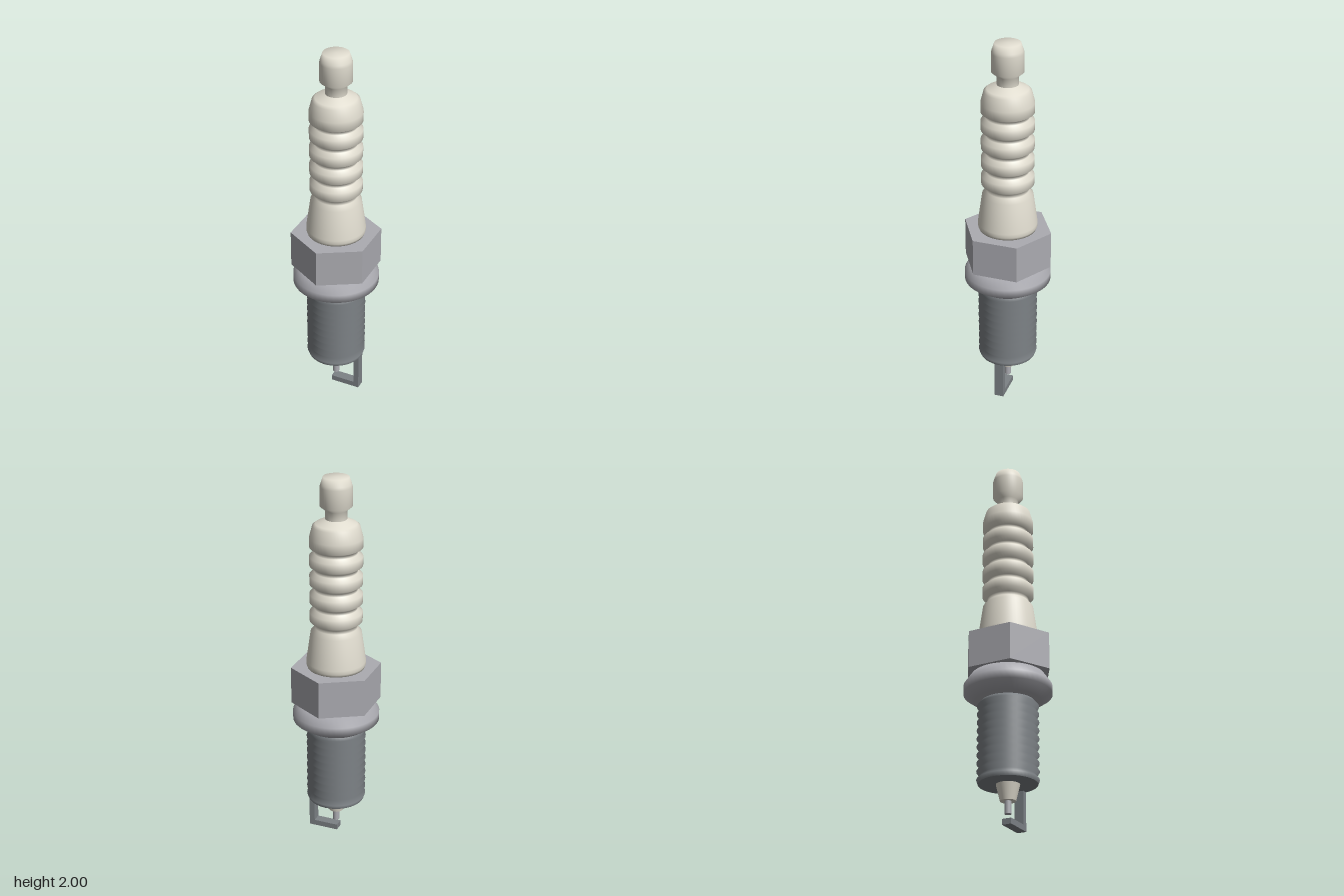
import * as THREE from 'three';

const mat = (name, color) => Object.assign(new THREE.MeshStandardMaterial({ color }), { name });

export function createModel() {
  const group = new THREE.Group();
  const ceramic = mat('cream ceramic', 0xe0dccf);
  const steel = mat('light steel', 0xababb1);
  const darkSteel = mat('dark steel', 0x7d8286);
  const hexSteel = steel.clone();
  hexSteel.flatShading = true;
  hexSteel.name = 'light steel flat';

  const add = (name, geometry, material, x = 0, y = 0) => {
    const mesh = new THREE.Mesh(geometry, material);
    mesh.name = name;
    mesh.position.set(x, y, 0);
    group.add(mesh);
  };
  // Profiles run from bottom to top as [radius, height]
  const lathe = (points) =>
    new THREE.LatheGeometry(points.map(([r, y]) => new THREE.Vector2(r, y)), 48);

  // Ribbed insulator body
  const body = [[0, 0.985], [0.15, 0.985], [0.155, 1.0], [0.155, 1.02], [0.132, 1.18], [0.11, 1.205]];
  for (let i = 0; i < 4; i++) {
    const y = 1.267 + i * 0.1;
    body.push([0.11, y - 0.042], [0.136, y - 0.024], [0.136, y + 0.024], [0.11, y + 0.042]);
  }
  body.push([0.11, 1.625], [0.136, 1.64], [0.136, 1.69], [0.12, 1.75], [0.105, 1.762], [0.055, 1.785]);
  add('insulatorBody', lathe(body), ceramic);

  // Terminal cap and its neck
  add('terminal', lathe([
    [0.055, 1.78], [0.055, 1.83], [0.082, 1.852], [0.082, 1.95], [0.078, 1.965], [0.066, 2], [0, 2],
  ]), ceramic);

  // Hex nut with corners towards the front and back
  add('hexNut', new THREE.CylinderGeometry(0.237, 0.237, 0.2, 6), hexSteel, 0, 0.885);

  // Rounded sealing collar
  add('collar', lathe([
    [0, 0.645], [0.17, 0.645], [0.228, 0.685], [0.228, 0.73], [0.19, 0.785], [0, 0.785],
  ]), steel);

  // Threaded shell made of stacked ridges
  const thread = [];
  const teeth = 10, low = 0.205, pitch = 0.0435;
  for (let i = 0; i < teeth; i++) {
    thread.push([0.14, low + i * pitch], [0.158, low + (i + 0.5) * pitch]);
  }
  thread.push([0.14, low + teeth * pitch]);
  thread[0] = [0.15, low];
  add('threadedShell', lathe(thread), darkSteel);
  add('shellBottom', new THREE.CircleGeometry(0.15, 48).rotateX(Math.PI / 2), darkSteel, 0, low);

  // Insulator nose and centre electrode
  add('insulatorNose', new THREE.CylinderGeometry(0.062, 0.04, 0.09, 32), ceramic, 0, 0.165);
  add('centreElectrode', new THREE.CylinderGeometry(0.018, 0.018, 0.075, 24), steel, 0, 0.0925);

  // Bent ground strap
  const strap = new THREE.Shape([
    [-0.015, 0], [0.148, 0], [0.148, 0.21], [0.118, 0.21], [0.118, 0.03], [-0.015, 0.03],
  ].map(([x, y]) => new THREE.Vector2(x, y)));
  add('groundStrap', new THREE.ExtrudeGeometry(strap, { depth: 0.05, bevelEnabled: false })
    .translate(0, 0, -0.025), darkSteel);

  return group;
}
